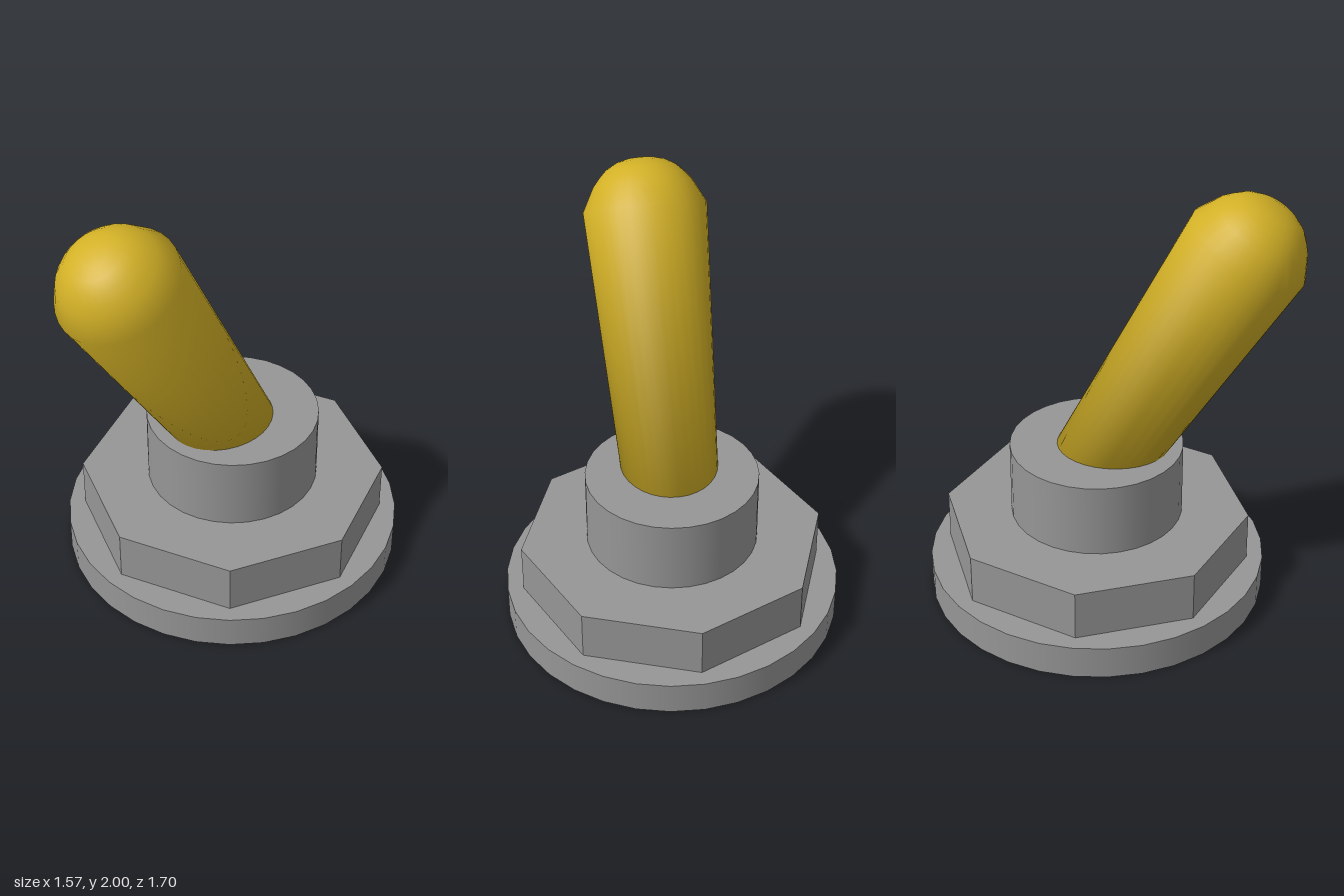
import * as THREE from 'three';

const CENTRE_Z = -0.062;
const SEGMENTS = 32;

// Lathe whose normals average the two neighbouring profile edges equally, so even the base rim is soft
function softLathe(points) {
  const geometry = new THREE.LatheGeometry(points, SEGMENTS);
  const edgeNormals = points.slice(1).map((p, j) => {
    const d = p.clone().sub(points[j]).normalize();
    return new THREE.Vector2(d.y, -d.x);
  });
  const last = points.length - 1;
  const profileNormals = points.map((p, j) => {
    if (j === 0) return new THREE.Vector2(0, -1);
    if (j === last) return new THREE.Vector2(0, 1);
    return edgeNormals[j - 1].clone().add(edgeNormals[j]).normalize();
  });
  const normal = geometry.attributes.normal;
  for (let i = 0; i < normal.count; i++) {
    const n = profileNormals[i % points.length];
    const angle = (Math.floor(i / points.length) / SEGMENTS) * Math.PI * 2;
    normal.setXYZ(i, n.x * Math.sin(angle), n.y, n.x * Math.cos(angle));
  }
  return geometry;
}

export function createModel() {
  const group = new THREE.Group();
  const metal = new THREE.MeshStandardMaterial({ color: 0x969696 });
  const facetedMetal = new THREE.MeshStandardMaterial({ color: 0x969696, flatShading: true });
  const yellow = new THREE.MeshStandardMaterial({ color: 0xd2b026 });

  // Upright disc or prism between two heights
  function addRound(name, radius, y0, y1, sides, material) {
    const mesh = new THREE.Mesh(new THREE.CylinderGeometry(radius, radius, y1 - y0, sides), material);
    mesh.position.set(0, (y0 + y1) / 2, CENTRE_Z);
    mesh.name = name;
    group.add(mesh);
  }

  addRound('washer', 0.786, 0, 0.157, SEGMENTS, metal);
  addRound('octagonalNut', 0.712, 0.157, 0.392, 8, facetedMetal);
  addRound('collar', 0.4, 0.392, 0.74, SEGMENTS, metal);

  // Tapered lever with a low dome, sunk into the collar
  const length = 1.34;
  const profile = [
    [0, 0], [0.217, 0], [0.284, length],
    [0.226, length + 0.11], [0.195, length + 0.147], [0.16, length + 0.182],
    [0.11, length + 0.21], [0.055, length + 0.224], [0, length + 0.228],
  ].map(([r, y]) => new THREE.Vector2(r, y));
  const lever = new THREE.Mesh(softLathe(profile), yellow);
  lever.name = 'lever';
  lever.rotation.x = Math.PI / 6;
  lever.position.set(0, 0.6, -0.072);
  group.add(lever);

  return group;
}
